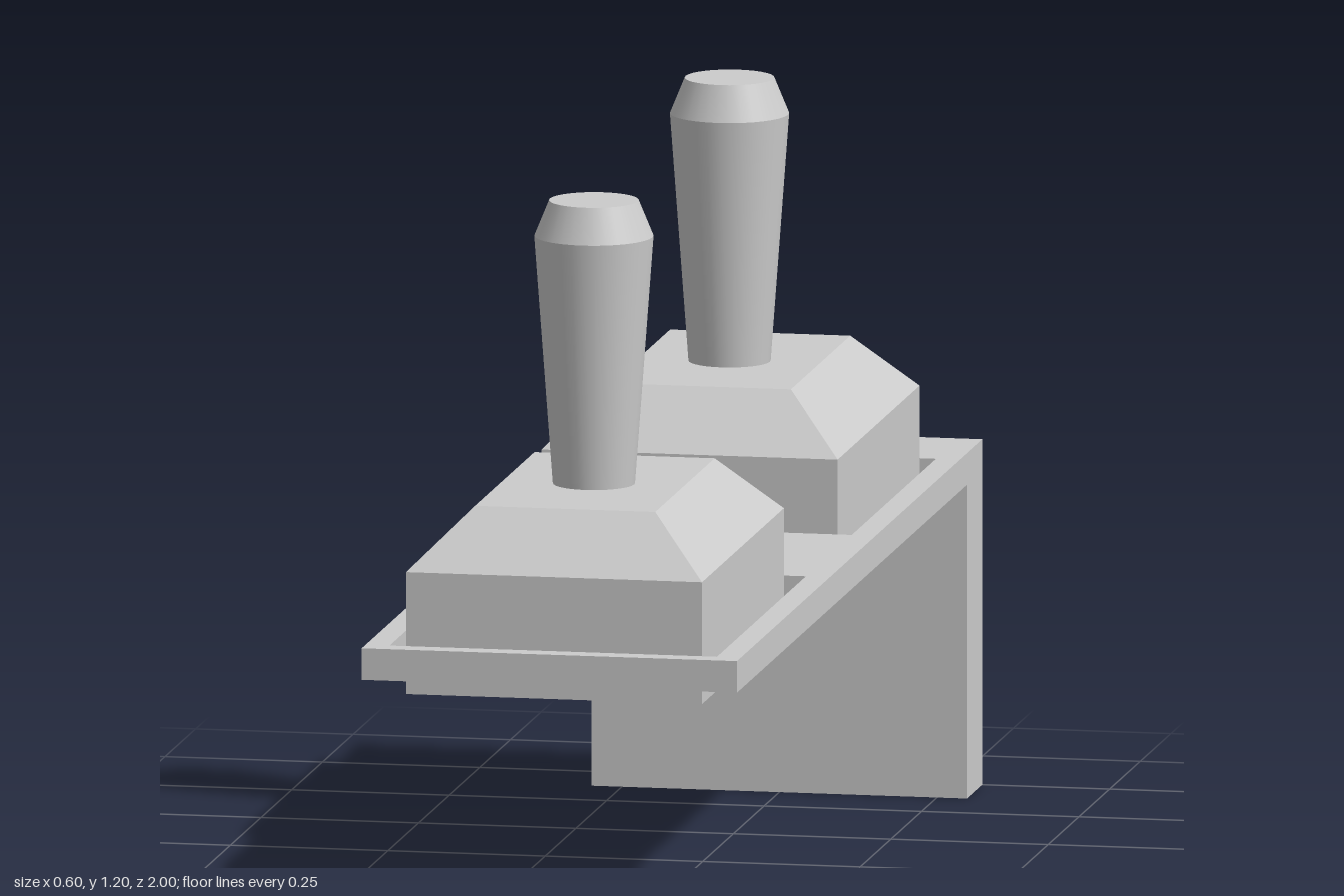
import * as THREE from 'three';

const material = new THREE.MeshStandardMaterial({ color: 0xcccccc });

function addMesh(parent, name, geometry, x = 0, y = 0, z = 0) {
  const mesh = new THREE.Mesh(geometry, material);
  mesh.name = name;
  mesh.position.set(x, y, z);
  parent.add(mesh);
  return mesh;
}

// Closed rectangle, in plan, with plan y = -z
function rectangle(PathType, halfWidth, zBack, zFront) {
  return new PathType([
    [-halfWidth, -zFront], [halfWidth, -zFront], [halfWidth, -zBack], [-halfWidth, -zBack],
  ].map(([x, y]) => new THREE.Vector2(x, y)));
}

// Housing block: straight walls with a sloped roof above the shoulder
function housingGeometry(width, depth, bottom, shoulder, top, inset) {
  const geometry = new THREE.BoxGeometry(width, top - bottom, depth, 1, 2, 1).toNonIndexed();
  geometry.translate(0, (top + bottom) / 2, 0);
  const p = geometry.attributes.position;
  const middle = (top + bottom) / 2;
  for (let i = 0; i < p.count; i++) {
    if (p.getY(i) > middle + 0.01) {
      p.setX(i, p.getX(i) - Math.sign(p.getX(i)) * inset);
      p.setZ(i, p.getZ(i) - Math.sign(p.getZ(i)) * inset);
    } else if (p.getY(i) > middle - 0.01) {
      p.setY(i, shoulder);
    }
  }
  geometry.computeVertexNormals();
  return geometry;
}

// Tapered handle; doubled points keep the rims sharp
function handleGeometry() {
  const profile = [
    [0, 0.74], [0.063, 0.74], [0.063, 0.74], [0.093, 1.147], [0.093, 1.147],
    [0.07, 1.203], [0.07, 1.203], [0, 1.203],
  ].map(([r, y]) => new THREE.Vector2(r, y));
  return new THREE.LatheGeometry(profile, 32);
}

export function createModel() {
  const model = new THREE.Group();
  model.name = 'switchPanel';

  // Panel with two rectangular openings
  const outline = rectangle(THREE.Shape, 0.298, -1, 1);
  outline.holes.push(
    rectangle(THREE.Path, 0.26, -0.816, -0.13),
    rectangle(THREE.Path, 0.26, 0.243, 0.968),
  );
  const panel = new THREE.ExtrudeGeometry(outline, { depth: 0.05, bevelEnabled: false });
  panel.rotateX(-Math.PI / 2);
  addMesh(model, 'panel', panel, 0, 0.497, 0);

  // Upright plate hanging from the back edge
  addMesh(model, 'backPlate', new THREE.BoxGeometry(0.596, 0.497, 0.125), 0, 0.2485, -0.9375);

  // Two lever switches set in the openings
  const housing = housingGeometry(0.47, 0.668, 0.47, 0.663, 0.755, 0.092);
  const handle = handleGeometry();
  for (const [name, z] of [['backSwitch', -0.477], ['frontSwitch', 0.628]]) {
    const lever = new THREE.Group();
    lever.name = name;
    lever.position.z = z;
    addMesh(lever, 'housing', housing);
    addMesh(lever, 'handle', handle, 0, 0, 0.008);
    model.add(lever);
  }
  return model;
}
